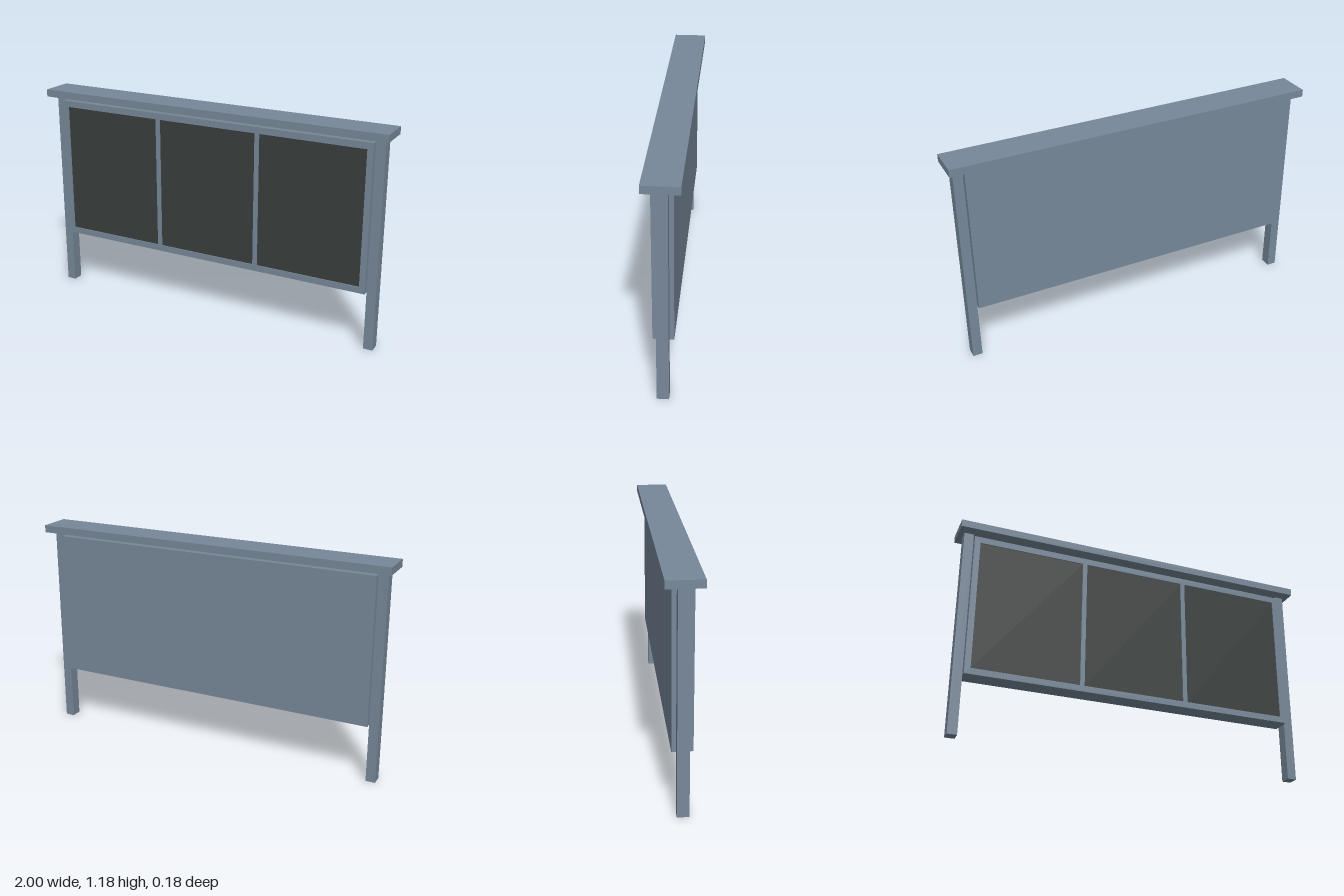
import * as THREE from 'three';

export function createModel() {
  const model = new THREE.Group();
  model.name = 'noticeBoard';
  const steel = new THREE.MeshStandardMaterial({ color: 0x778899 });
  steel.name = 'blueGreySteel';
  const dark = new THREE.MeshStandardMaterial({ color: 0x393e3d });
  dark.name = 'darkPanel';

  const add = (name, geometry, material, x, y, z) => {
    const mesh = new THREE.Mesh(geometry, material);
    mesh.name = name;
    mesh.position.set(x, y, z);
    model.add(mesh);
  };
  const box = (name, w, h, d, x, y, z, material = steel) =>
    add(name, new THREE.BoxGeometry(w, h, d), material, x, y, z);

  const halfDepth = 0.052, recess = 0.01;
  const boardBottom = 0.318, boardTop = 1.115, halfWidth = 0.917;
  const paneBottom = 0.352, paneTop = 1.08;
  const panes = [[-0.885, -0.308], [-0.283, 0.283], [0.308, 0.885]];

  // Posts and cap
  for (const side of [1, -1]) {
    box(side > 0 ? 'leftPost' : 'rightPost', 0.051, 1.136, 0.06, side * 0.945, 0.568, 0);
  }
  box('cap', 2, 0.04, 0.18, 0, 1.156, 0);

  // Solid board behind the frame
  box('boardBody', halfWidth * 2, boardTop - boardBottom, halfDepth * 2 - recess,
    0, (boardTop + boardBottom) / 2, -recess / 2);

  // Front frame with three openings
  const rect = (C, x0, x1, y0, y1) => {
    const path = new C();
    path.moveTo(x0, y0).lineTo(x1, y0).lineTo(x1, y1).lineTo(x0, y1).closePath();
    return path;
  };
  const outline = rect(THREE.Shape, -halfWidth, halfWidth, boardBottom, boardTop);
  for (const [x0, x1] of panes) {
    outline.holes.push(rect(THREE.Path, x0, x1, paneBottom, paneTop));
  }
  add('frontFrame', new THREE.ExtrudeGeometry(outline, { depth: recess, bevelEnabled: false }),
    steel, 0, 0, halfDepth - recess);

  // Recessed dark panels
  panes.forEach(([x0, x1], i) => {
    box('displayPanel' + (i + 1), x1 - x0, paneTop - paneBottom, 0.004,
      (x0 + x1) / 2, (paneBottom + paneTop) / 2, halfDepth - recess + 0.002, dark);
  });
  return model;
}
